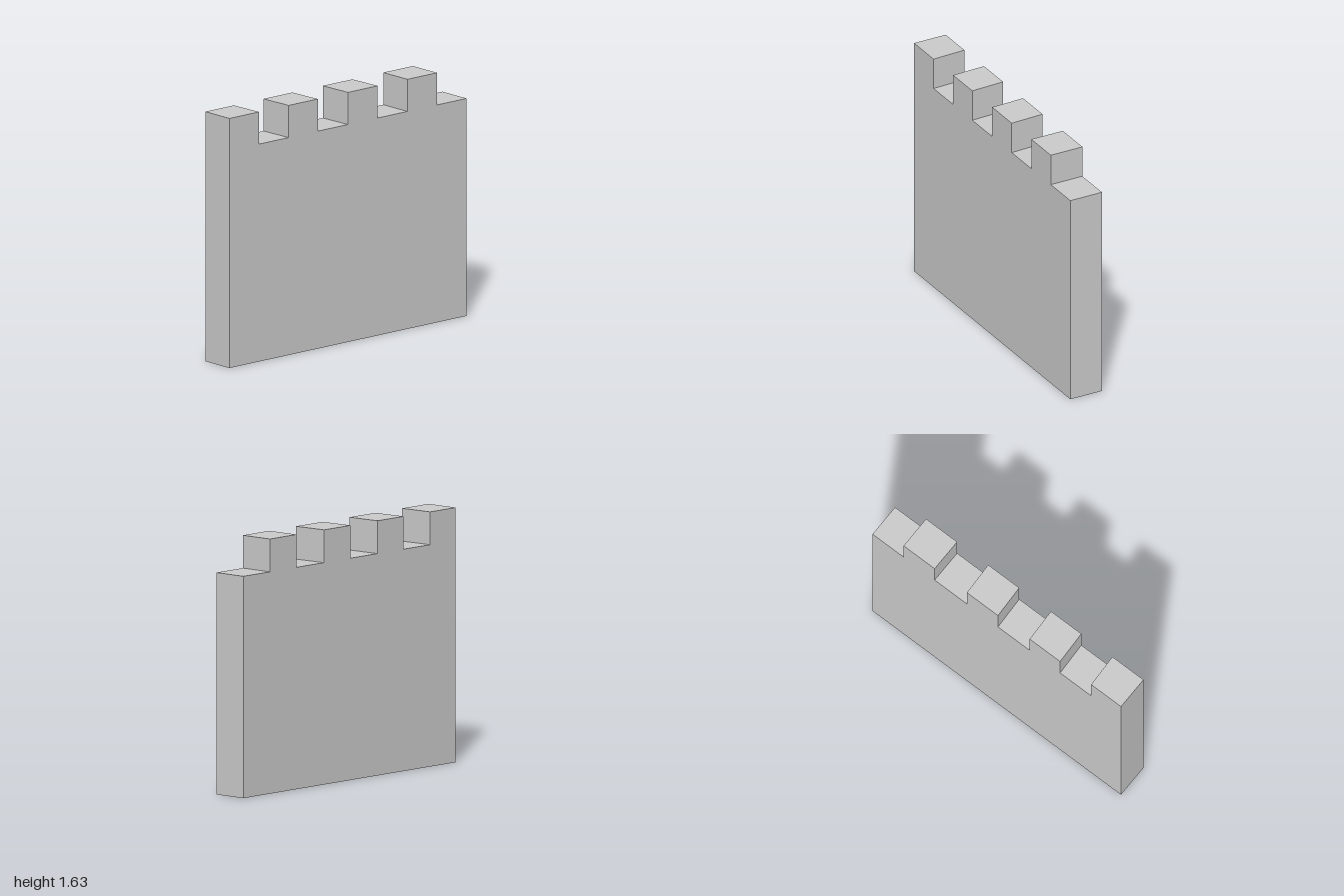
import * as THREE from 'three';

const DEPTH = 0.23, NOTCH_Y = 1.42, TOP_Y = 1.63;

export function createModel() {
  const group = new THREE.Group();
  group.name = 'battlementWall';

  // Crenellated outline: merlons and notches alternate from the right end
  const steps = [-1, -0.75, -0.5, -0.255, 0, 0.25, 0.5, 0.75, 1];
  const outline = new THREE.Shape();
  outline.moveTo(1, 0);
  for (let i = steps.length - 1; i > 0; i--) {
    const y = i % 2 ? TOP_Y : NOTCH_Y;
    outline.lineTo(steps[i], y);
    outline.lineTo(steps[i - 1], y);
  }
  outline.lineTo(-1, 0);
  outline.closePath();

  const geometry = new THREE.ExtrudeGeometry(outline, { depth: DEPTH, bevelEnabled: false });
  geometry.translate(0, 0, -DEPTH / 2);

  // The notches are cut slightly askew, so their back edges sit a little to the right
  const pos = geometry.attributes.position;
  for (let i = 0; i < pos.count; i++) {
    const x = pos.getX(i);
    if (pos.getZ(i) < 0 && x > -0.9 && x < 0.4) pos.setX(i, x - 0.01);
  }
  geometry.computeVertexNormals();

  const wall = new THREE.Mesh(
    geometry,
    new THREE.MeshStandardMaterial({ color: 0xcccccc, flatShading: true })
  );
  wall.name = 'crenellatedWall';
  group.add(wall);
  return group;
}
